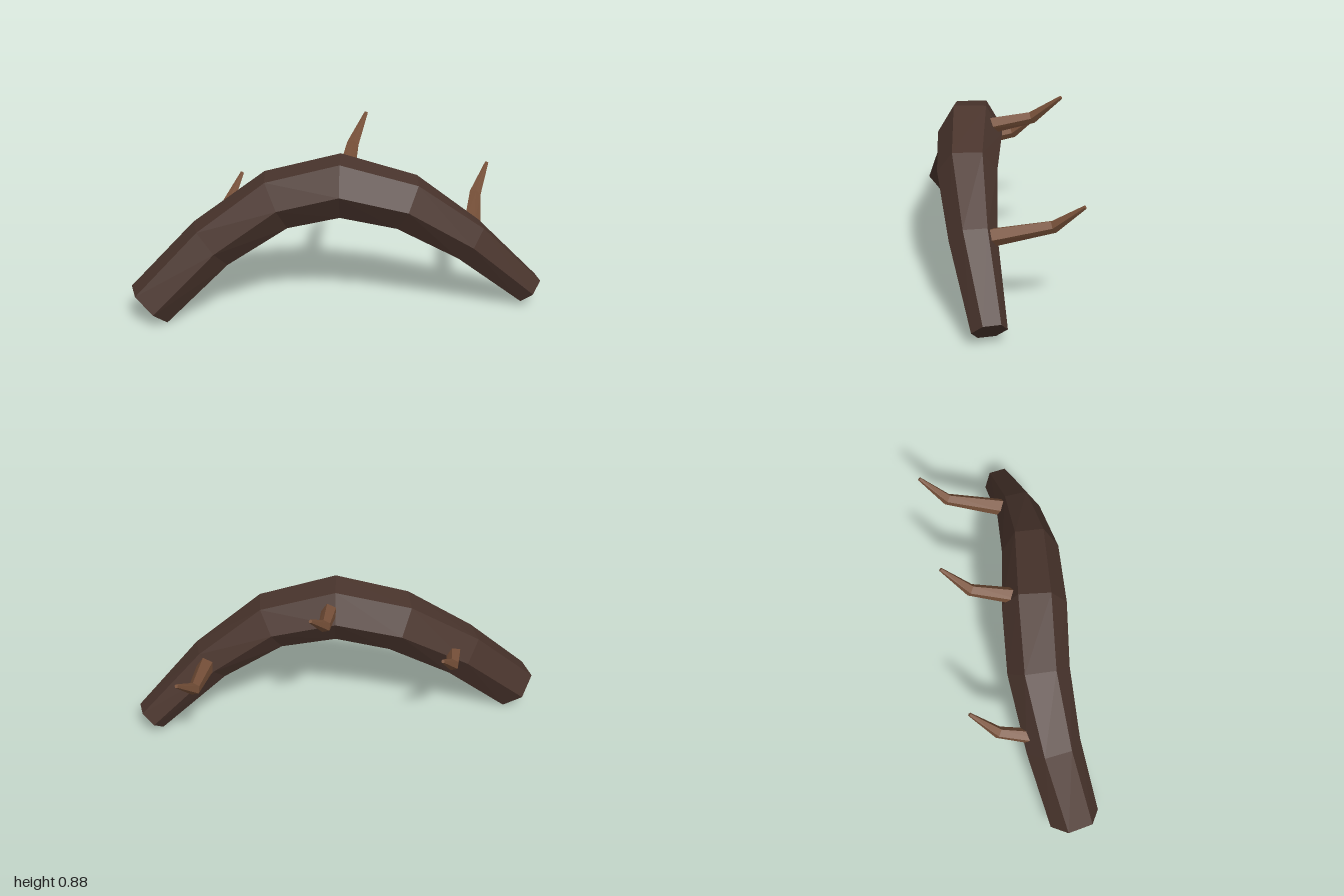
import * as THREE from 'three';

// Faceted, capped tube: rows of [x, y, z, radius], one ring at each row
function loft(rows, sides, phase) {
  const centres = rows.map(([x, y, z]) => new THREE.Vector3(x, y, z));
  const curve = new THREE.CatmullRomCurve3(centres);
  const rings = rows.map((row, i) => {
    const t = curve.getTangent(i / (rows.length - 1));
    const up = new THREE.Vector3(0, 1, 0).addScaledVector(t, -t.y).normalize();
    const side = new THREE.Vector3().crossVectors(up, t);
    return Array.from({ length: sides }, (_, j) => {
      const a = phase + (j / sides) * Math.PI * 2;
      return centres[i].clone()
        .addScaledVector(side, Math.cos(a) * row[3])
        .addScaledVector(up, Math.sin(a) * row[3]);
    });
  });
  const points = [];
  const last = rings.length - 1;
  for (let j = 0; j < sides; j++) {
    const k = (j + 1) % sides;
    for (let i = 0; i < last; i++) {
      const a = rings[i][j], b = rings[i][k], c = rings[i + 1][k], d = rings[i + 1][j];
      points.push(a, b, c, a, c, d);
    }
    points.push(centres[0], rings[0][k], rings[0][j]);
    points.push(centres[last], rings[last][j], rings[last][k]);
  }
  const geometry = new THREE.BufferGeometry().setFromPoints(points);
  geometry.computeVertexNormals();
  return geometry;
}

export function createModel() {
  const bark = new THREE.MeshStandardMaterial({ color: 0x4a352d, flatShading: true });
  bark.name = 'dark bark';
  const wood = new THREE.MeshStandardMaterial({ color: 0x79523a, flatShading: true });
  wood.name = 'light wood';

  const model = new THREE.Group();
  model.name = 'archedBranch';

  // Main six-sided branch, arching and swaying from end to end
  const branch = new THREE.Mesh(loft([
    [-0.922, 0.08, 0.118, 0.125],
    [-0.615, 0.37, 0.073, 0.134],
    [-0.295, 0.582, 0.067, 0.149],
    [0.01, 0.66, 0.113, 0.155],
    [0.325, 0.582, 0.163, 0.139],
    [0.63, 0.375, 0.172, 0.111],
    [0.948, 0.078, 0.14, 0.082],
  ], 6, 0), bark);
  branch.name = 'branch';
  model.add(branch);

  // Three identical bent twigs sprouting from the back
  const twigGeometry = loft([
    [0, 0, 0.09, 0.044],
    [0.07, 0.067, -0.175, 0.03],
    [0.152, 0.186, -0.296, 0.009],
  ], 5, Math.PI);
  [[-0.59, 0.395], [0.035, 0.69], [0.66, 0.395]].forEach(([x, y], i) => {
    const twig = new THREE.Mesh(twigGeometry, wood);
    twig.name = `twig${i + 1}`;
    twig.position.set(x, y, 0);
    model.add(twig);
  });

  return model;
}
